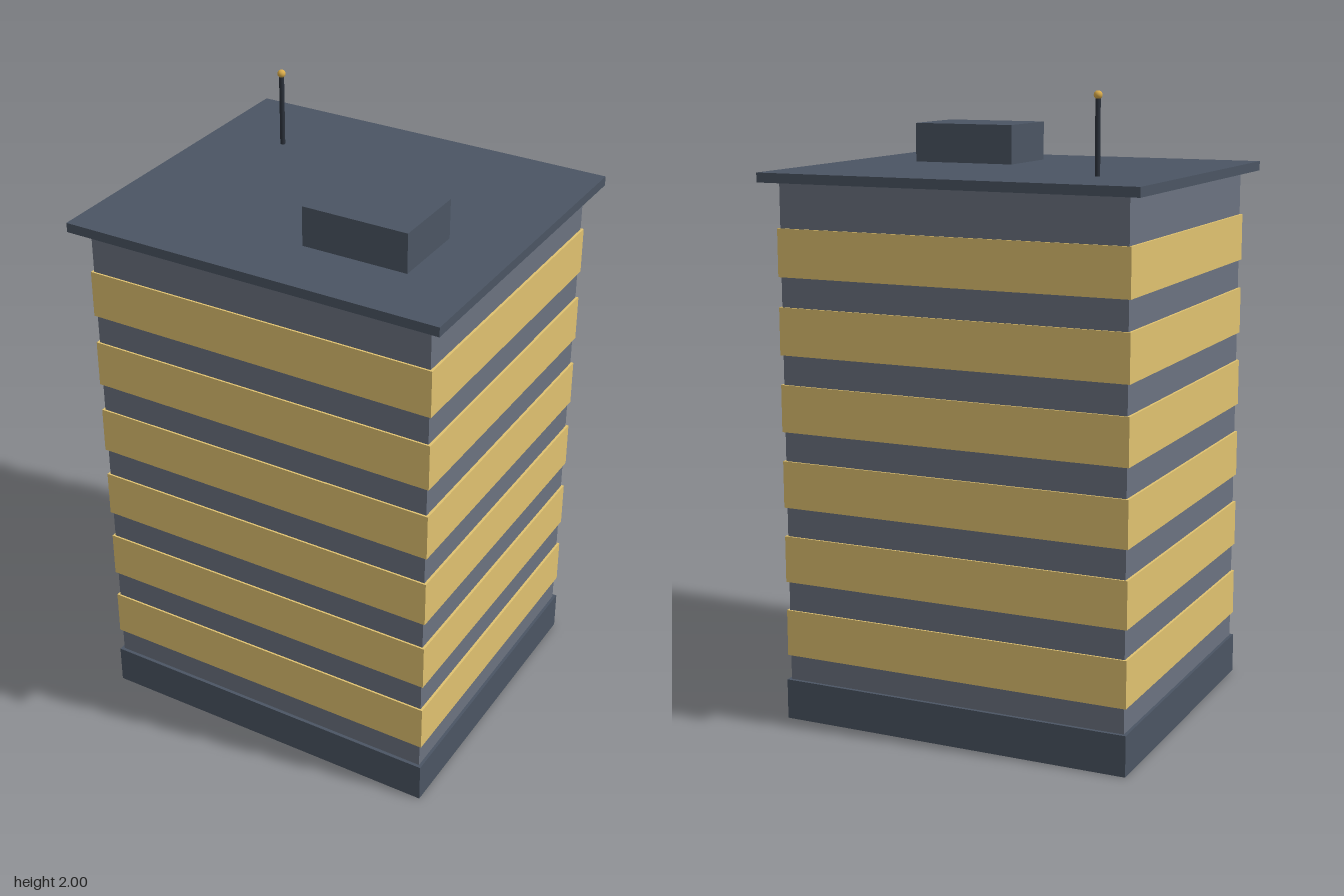
import * as THREE from 'three';

const paint = (color) => new THREE.MeshStandardMaterial({ color });

export function createModel() {
  const model = new THREE.Group();
  model.name = 'officeTower';

  const wall = paint(0x6b7280);
  const trim = paint(0x4b5563);
  const glass = paint(0xe0c270);
  const metal = paint(0x2b313b);
  const lamp = paint(0xd9ab4a);

  const add = (name, geometry, material, x, y, z) => {
    const mesh = new THREE.Mesh(geometry, material);
    mesh.name = name;
    mesh.position.set(x, y, z);
    model.add(mesh);
  };
  // Box placed by its bottom height
  const block = (name, w, h, d, material, bottom, x = 0, z = 0) =>
    add(name, new THREE.BoxGeometry(w, h, d), material, x, bottom + h / 2, z);

  // Main volume, plinth and overhanging roof
  block('plinth', 1.162, 0.13, 1.022, trim, 0);
  block('tower', 1.142, 1.62, 1.0, wall, 0.11);
  block('roofSlab', 1.24, 0.03, 1.1, trim, 1.72);

  // Window bands wrapping each of the six floors
  for (let floor = 0; floor < 6; floor++) {
    block('windowBand' + (floor + 1), 1.158, 0.15, 1.012, glass, 0.211 + floor * 0.2435);
  }

  // Rooftop plant room
  block('plantRoom', 0.343, 0.13, 0.256, trim, 1.745, 0.228, 0.198);

  // Antenna with a lamp on its tip
  add('antennaMast', new THREE.CylinderGeometry(0.008, 0.008, 0.24, 12), metal, -0.374, 1.865, -0.259);
  add('antennaLamp', new THREE.SphereGeometry(0.013, 16, 12), lamp, -0.374, 1.987, -0.259);

  return model;
}
